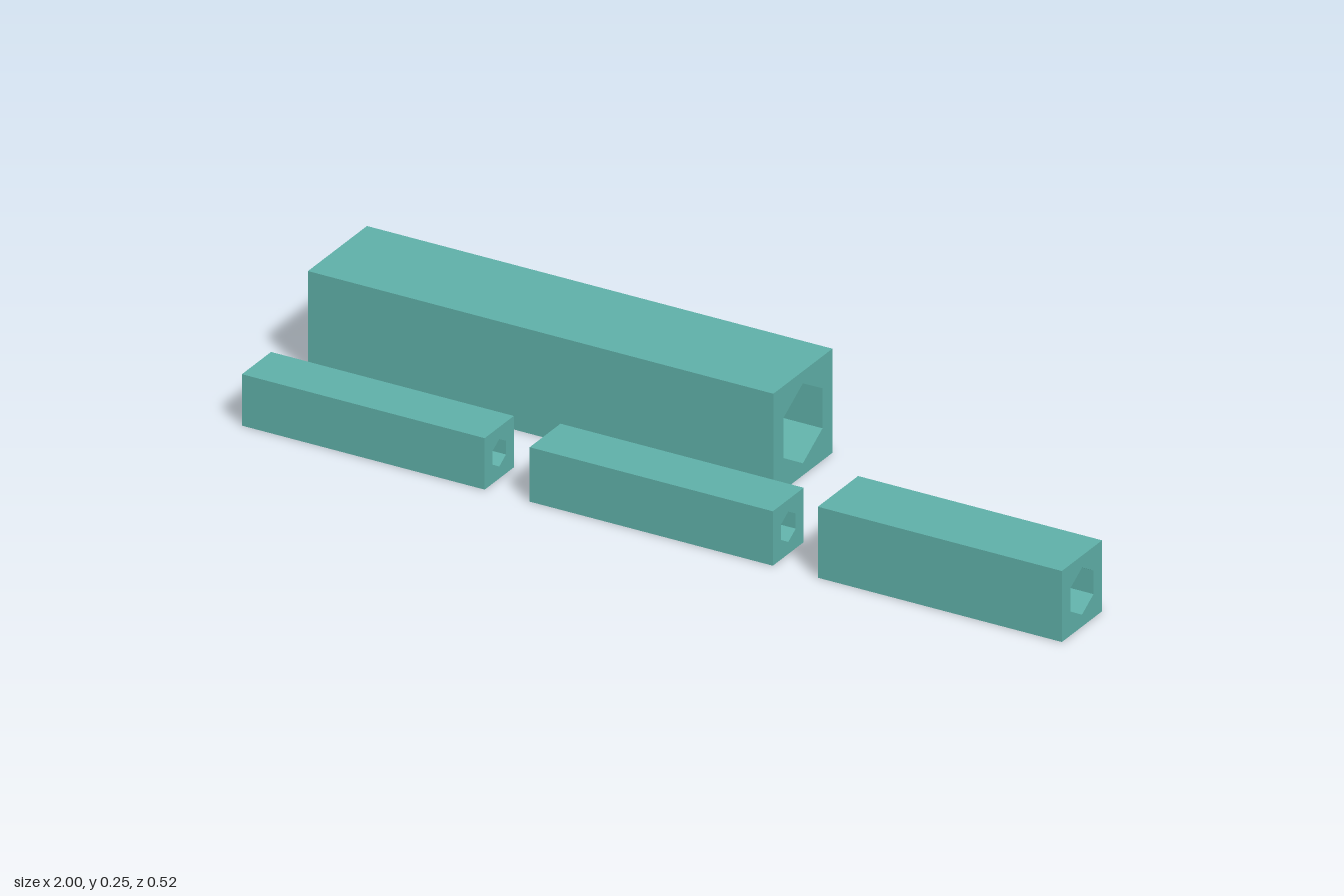
import * as THREE from 'three';
import { mergeGeometries } from 'three/addons/utils/BufferGeometryUtils.js';

const BORE = 0.007;   // radius of the vent bore
const DRAFT = 0.0105; // how much the socket narrows on each side
const WALL = 0.04;    // thickness behind the socket

// Regular polygon outline with one corner pointing straight up
function polygon(radius, sides, turn = 0) {
  return Array.from({ length: sides }, (_, i) => {
    const a = Math.PI / 2 + turn + (i * 2 * Math.PI) / sides;
    return new THREE.Vector2(radius * Math.cos(a), radius * Math.sin(a));
  });
}

// Flat plate with a hole, facing +z
function plate(outline, hole, z) {
  const shape = new THREE.Shape(outline);
  shape.holes.push(new THREE.Path(hole));
  return new THREE.ShapeGeometry(shape).translate(0, 0, z);
}

// Open prism along z; inward = true turns its faces towards the axis
function sleeve(rBack, rFront, z0, z1, sides, turn = 0, inward = false) {
  const g = new THREE.CylinderGeometry(rFront, rBack, z1 - z0, sides, 1, true, turn);
  g.rotateX(Math.PI / 2).translate(0, 0, (z0 + z1) / 2);
  if (inward) g.scale(-1, 1, 1);
  return g;
}

// Square block with a tapered hexagonal socket in its +x end and a vent bore behind
function holder(size, length, apothem) {
  const h = length / 2;
  const corner = size / Math.SQRT2;
  const rMouth = apothem / Math.cos(Math.PI / 6);
  const rFloor = (apothem - DRAFT) / Math.cos(Math.PI / 6);
  const square = polygon(corner, 4, Math.PI / 4);
  const bore = polygon(BORE, 16);
  const parts = [
    sleeve(corner, corner, -h, h, 4, Math.PI / 4),
    plate(square, polygon(rMouth, 6), h),
    plate(square, bore, h).rotateY(Math.PI),
    sleeve(rFloor, rMouth, -h + WALL, h, 6, 0, true),
    plate(polygon(rFloor, 6), bore, -h + WALL),
    sleeve(BORE, BORE, -h, -h + WALL, 16, 0, true),
  ].map((g) => {
    const flat = g.toNonIndexed();
    flat.computeVertexNormals();
    return flat;
  });
  return mergeGeometries(parts).rotateY(Math.PI / 2);
}

export function createModel() {
  const group = new THREE.Group();
  const material = new THREE.MeshStandardMaterial({ color: 0x5fb0a8, flatShading: true });

  // name, x start, x end, block size, z centre, socket half width
  const blocks = [
    ['largeHolder', -1, 0.135, 0.245, -0.137, 0.0815],
    ['smallHolder', -1, -0.408, 0.121, 0.199, 0.028],
    ['middleHolder', -0.298, 0.295, 0.128, 0.196, 0.031],
    ['wideHolder', 0.405, 1, 0.167, 0.177, 0.048],
  ];
  for (const [name, x0, x1, size, z, apothem] of blocks) {
    const mesh = new THREE.Mesh(holder(size, x1 - x0, apothem), material);
    mesh.name = name;
    mesh.position.set((x0 + x1) / 2, size / 2, z);
    group.add(mesh);
  }
  return group;
}
